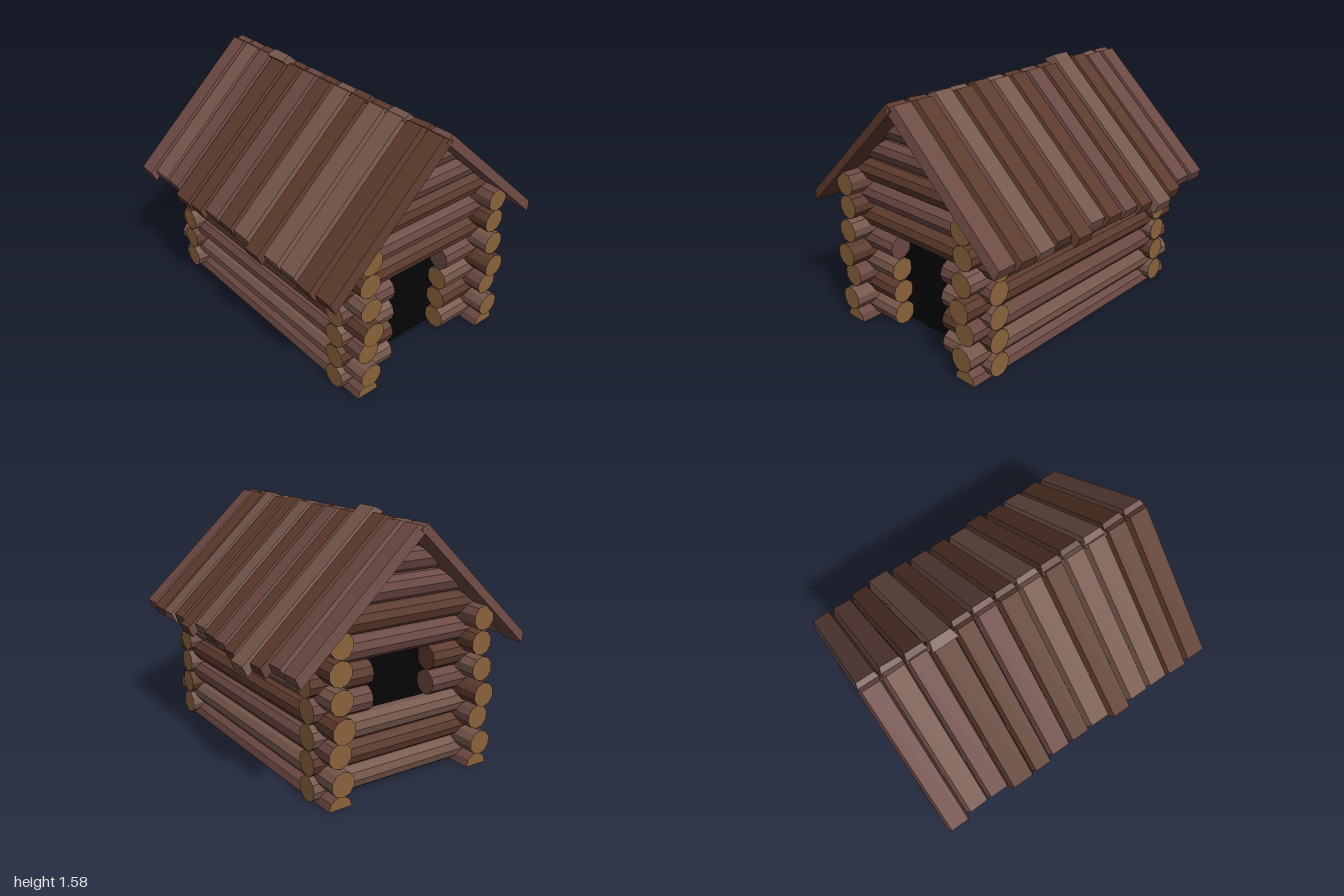
import * as THREE from 'three';

const mat = (color, side = THREE.FrontSide) => new THREE.MeshStandardMaterial({ color, flatShading: true, side });
const RED = mat(0x6b4842), GREY = mat(0x75564b), BROWN = mat(0x5c3a2c);
const CUT = mat(0x8b633b), DARK = mat(0x050505);
const BARK = { r: RED, g: GREY, b: BROWN };

const R = 0.077;                    // log radius
const CX = -0.02;                   // x of the ridge
const RIDGE = 1.49, SLOPE = 0.924;  // underside of the roof
const roofHalf = (y) => Math.max(0.01, (RIDGE + 0.01 - y) / SLOPE);

function add(parent, name, geometry, material) {
  const mesh = new THREE.Mesh(geometry, material);
  mesh.name = name;
  parent.add(mesh);
  return mesh;
}

// Log lying along x from x0 to x1, with pale sawn ends
function logX(parent, name, x0, x1, y, z, bark, end0 = CUT, end1 = CUT) {
  const geo = new THREE.CylinderGeometry(R, R, x1 - x0, 10).rotateZ(-Math.PI / 2);
  geo.translate((x0 + x1) / 2, y, z);
  return add(parent, name, geo, [bark, end1, end0]);
}

// Log lying along z; the lowest ones are halved
function logZ(parent, x, y, half, bark) {
  const halved = y === 0;
  const geo = halved
    ? new THREE.CylinderGeometry(R, R, half * 2, 5, 1, false, Math.PI / 2, Math.PI)
    : new THREE.CylinderGeometry(R, R, half * 2, 10);
  geo.rotateX(Math.PI / 2).translate(x, y, 0);
  add(parent, halved ? 'sillLog' : 'sideLog', geo, [bark, CUT, CUT]);
  if (halved) {
    const sole = new THREE.PlaneGeometry(R * 2, half * 2).rotateX(Math.PI / 2).translate(x, 0, 0);
    add(parent, 'sillLogSole', sole, CUT);
  }
}

// Gable log whose ends are cut to the slope of the roof
function gableLog(parent, y, z, bark) {
  const geo = new THREE.CylinderGeometry(R, R, 2, 10).rotateZ(-Math.PI / 2);
  geo.translate(0, y, z);
  const p = geo.attributes.position;
  for (let i = 0; i < p.count; i++) {
    const py = Math.min(p.getY(i), RIDGE + 0.02);
    p.setXYZ(i, CX + Math.sign(p.getX(i)) * roofHalf(py), py, p.getZ(i));
  }
  add(parent, 'gableLog', geo, bark);
}

// Roof plank with bevelled upper edges, running from the ridge to eaveX
function plank(parent, side, start, eave, z0, z1, twist, bark) {
  const a = Math.atan(SLOPE), c = Math.cos(a), t = 0.06;
  const u0 = start / c, u1 = eave / c, w = z1 - z0;
  const geo = new THREE.BoxGeometry(u1 - u0, t, w).translate(0, t / 2, 0);
  const p = geo.attributes.position;
  for (let i = 0; i < p.count; i++) {
    if (p.getY(i) < t / 2) continue;
    p.setX(i, p.getX(i) - Math.sign(p.getX(i)) * 0.022);
    p.setZ(i, p.getZ(i) - Math.sign(p.getZ(i)) * 0.016);
  }
  geo.rotateX(twist).translate((u0 + u1) / 2, 0, 0).rotateZ(-a);
  if (side < 0) geo.rotateY(Math.PI);
  geo.translate(CX, RIDGE, (z0 + z1) / 2);
  add(parent, side > 0 ? 'leftRoofPlank' : 'rightRoofPlank', geo, bark);
}

export function createModel() {
  const cabin = new THREE.Group();
  cabin.name = 'logCabin';
  const walls = new THREE.Group();
  walls.name = 'walls';
  const roof = new THREE.Group();
  roof.name = 'roof';
  cabin.add(walls, roof);

  // Side walls
  const sideHalf = [0.965, 0.99, 0.96, 1.0, 0.975, 0.96, 0.97];
  sideHalf.forEach((half, i) => {
    logZ(walls, 0.49, i * 0.157, half, BARK['rgrbgbr'[i]]);
    logZ(walls, -0.525, i * 0.157, half, BARK['rgrbgbr'[i]]);
  });

  // Front and back walls, leaving a doorway and a window
  const reach = [0.62, 0.62, 0.62, 0.62, 0.64, 0.65];
  const doorL = -0.24, doorR = 0.2;
  for (const s of [1, -1]) {
    reach.forEach((r, i) => {
      const y = 0.08 + i * 0.155, z = s * 0.79;
      const bark = BARK['gbgrbr'[i]];
      const open = s > 0 ? i < 4 : i === 3 || i === 4;
      if (open) {
        const inner = i < 3 ? CUT : bark;
        logX(walls, s > 0 ? 'doorSideLog' : 'windowSideLog', CX - r, doorL, y, z, bark, CUT, inner);
        logX(walls, s > 0 ? 'doorSideLog' : 'windowSideLog', doorR, CX + r, y, z, bark, inner, CUT);
      } else {
        logX(walls, s > 0 ? 'frontLog' : 'backLog', CX - r, CX + r, y, z, bark);
      }
    });
    [1.01, 1.165, 1.32, 1.46].forEach((y, i) => gableLog(walls, y, s * 0.79, BARK['brrb'[i]]));
  }

  // Dark interior with floor
  const room = new THREE.Shape([[-0.52, 0.004], [0.485, 0.004], [0.485, 0.98], [CX, 1.44], [-0.52, 0.98]]
    .map(([x, y]) => new THREE.Vector2(x, y)));
  const inside = new THREE.ExtrudeGeometry(room, { depth: 1.44, bevelEnabled: false }).translate(0, 0, -0.72);
  add(cabin, 'darkInterior', inside, DARK);

  // Roof planks, from back to front
  const edges = [-1, -0.85, -0.695, -0.545, -0.375, -0.235, -0.08, 0.07, 0.23, 0.38, 0.535, 0.69, 0.845, 1];
  const eaveL = [0.79, 0.785, 0.82, 0.85, 0.82, 0.805, 0.8, 0.785, 0.82, 0.79, 0.8, 0.8, 0.79];
  const eaveR = [0.85, 0.825, 0.825, 0.855, 0.85, 0.83, 0.83, 0.825, 0.855, 0.83, 0.83, 0.84, 0.83];
  for (let i = 0; i < 13; i++) {
    const twist = i === 1 ? 0.06 : i === 11 ? -0.06 : 0;
    const start = i === 3 ? -0.07 : i === 2 || i === 8 || i === 10 ? -0.04 : -0.025;
    plank(roof, 1, start, eaveL[i] - 0.006, edges[i], edges[i + 1], twist, BARK['rrbgbrbgbbgbr'[i]]);
    plank(roof, -1, -0.025, eaveR[i] - 0.046, edges[i], edges[i + 1], -twist, BARK['rgrbbrbgbggbb'[i]]);
  }
  return cabin;
}
